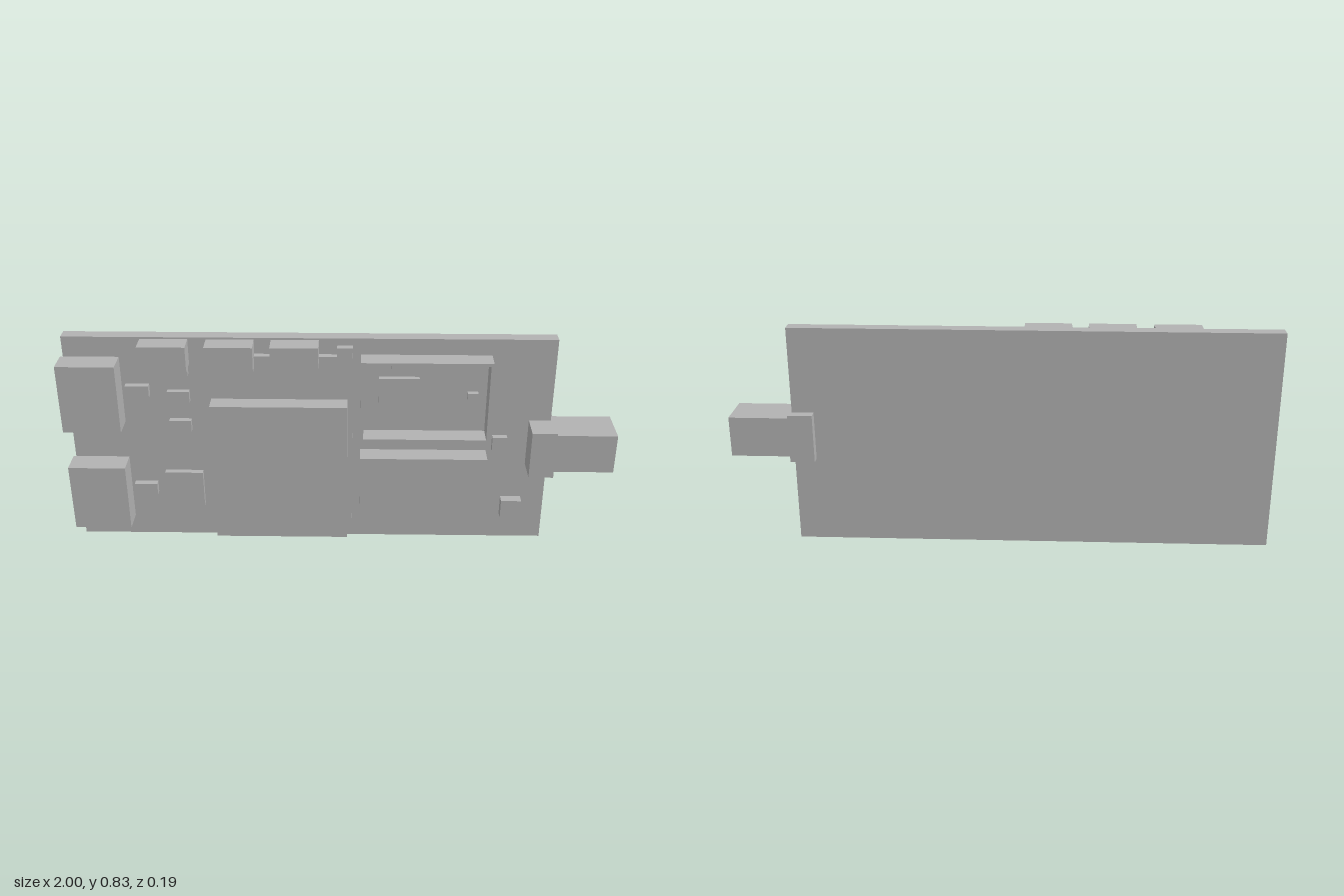
import * as THREE from 'three';

const BOARD_FRONT = -0.01;

export function createModel() {
  const group = new THREE.Group();
  const grey = new THREE.MeshStandardMaterial({ color: 0xb2b2b2 });
  grey.name = 'plain grey';

  // Box given by its limits on each axis
  function box(name, x0, x1, y0, y1, z1, z0 = BOARD_FRONT) {
    const mesh = new THREE.Mesh(new THREE.BoxGeometry(x1 - x0, y1 - y0, z1 - z0), grey);
    mesh.position.set((x0 + x1) / 2, (y0 + y1) / 2, (z0 + z1) / 2);
    mesh.name = name;
    group.add(mesh);
  }

  // Outline standing on the board, with an optional hole
  function plate(name, points, z1, hole) {
    const toVectors = list => list.map(([x, y]) => new THREE.Vector2(x, y));
    const shape = new THREE.Shape(toVectors(points));
    if (hole) shape.holes.push(new THREE.Path(toVectors(hole)));
    const geometry = new THREE.ExtrudeGeometry(shape, { depth: z1 - BOARD_FRONT, bevelEnabled: false });
    const mesh = new THREE.Mesh(geometry, grey);
    mesh.position.z = BOARD_FRONT;
    mesh.name = name;
    group.add(mesh);
  }
  const rect = (x0, x1, y0, y1) => [[x0, y0], [x1, y0], [x1, y1], [x0, y1]];

  // Circuit board
  box('circuitBoard', -0.99, 0.77, 0, 0.827, BOARD_FRONT, -0.058);

  // Ports on the short edge
  for (const y of [0.08, 0.49]) box('edgePort', -1, -0.79, y, y + 0.26, 0.08);

  // Row of connectors along the top edge
  for (const x of [-0.71, -0.475, -0.245]) box('topConnector', x, x + 0.17, 0.725, 0.82, 0.063);

  // Stepped carrier with the main module on it
  plate('moduleCarrier', [[-0.475, 0.025], [0.045, 0.025], [0.045, 0.8], [-0.01, 0.8],
    [-0.01, 0.766], [-0.475, 0.766]], 0.014);
  box('mainModule', -0.465, 0.027, 0.047, 0.598, 0.08, 0.014);

  // Open shield frame and closed shield can
  plate('shieldFrame', rect(0.075, 0.54, 0.453, 0.766), 0.063, rect(0.085, 0.53, 0.462, 0.756));
  box('shieldCan', 0.075, 0.54, 0.063, 0.38, 0.063);

  // Chips inside the open shield
  box('radioChip', 0.14, 0.285, 0.537, 0.68, 0.01);
  box('shieldedCapacitor', 0.182, 0.236, 0.698, 0.74, 0.01);
  box('shieldedResistor', 0.46, 0.498, 0.595, 0.622, 0.01);

  // Small surface parts
  for (const y of [0.19, 0.6]) box('portCapacitor', -0.775, -0.69, y, y + 0.045, 0.016);
  for (const y of [0.46, 0.578, 0.685]) box('smallResistor', -0.625, -0.545, y, y + 0.044, 0.012);
  box('controllerChip', -0.657, -0.515, 0.14, 0.284, 0.012);
  box('antennaCapacitor', 0.56, 0.614, 0.386, 0.444, 0.012);
  box('cornerChip', 0.608, 0.684, 0.104, 0.18, 0.026);

  // Antenna socket clamped over the board edge
  box('socketFlange', 0.69, 0.78, 0.325, 0.507, 0.093, -0.093);
  box('socketBarrel', 0.78, 1, 0.34, 0.49, 0.076, -0.076);

  return group;
}
